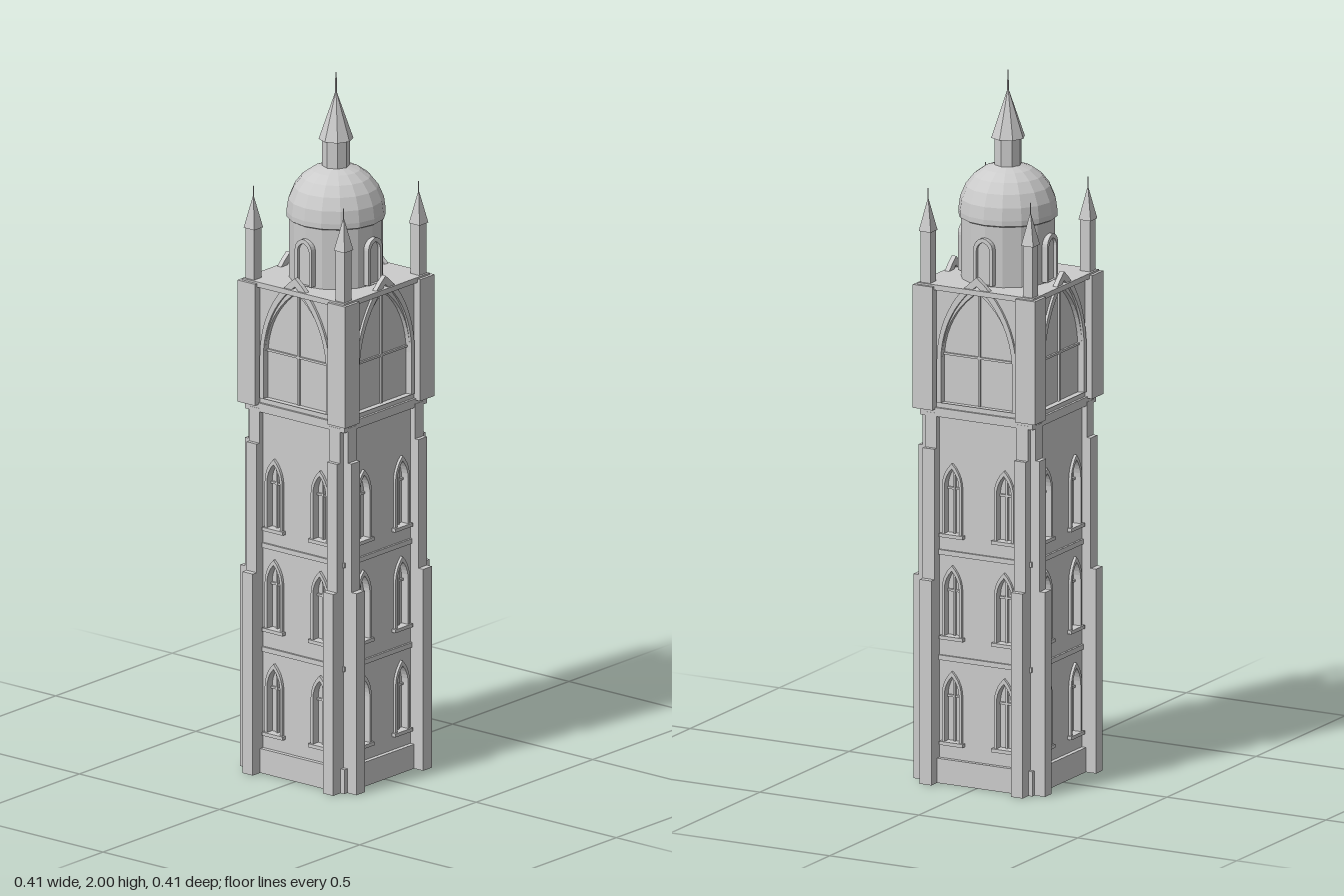
import * as THREE from 'three';

const grey = new THREE.MeshStandardMaterial({ color: 0xcccccc, flatShading: true, side: THREE.DoubleSide });

function add(parent, name, geometry, x = 0, y = 0, z = 0) {
  const mesh = new THREE.Mesh(geometry, grey);
  mesh.name = name;
  mesh.position.set(x, y, z);
  parent.add(mesh);
  return mesh;
}

// Box given by its lower and upper limits
function block(parent, name, x0, x1, y0, y1, z0, z1) {
  return add(parent, name, new THREE.BoxGeometry(x1 - x0, y1 - y0, z1 - z0),
    (x0 + x1) / 2, (y0 + y1) / 2, (z0 + z1) / 2);
}

// Outline of a pointed arch: two arcs meeting at the apex
function archPoints(cx, w, y0, spring, apex, n = 8) {
  const h = apex - spring;
  const R = (w * w + h * h) / (2 * w);
  const end = Math.atan2(h, R - w);
  const right = [];
  for (let i = 0; i <= n; i++) {
    const a = end * i / n;
    right.push([w - R + R * Math.cos(a), spring + R * Math.sin(a)]);
  }
  const left = right.slice(0, n).reverse().map(([x, y]) => [-x, y]);
  return [[-w, y0], [w, y0], ...right, ...left].map(([x, y]) => new THREE.Vector2(cx + x, y));
}

function extrude(shape, depth) {
  return new THREE.ExtrudeGeometry(shape, { depth, bevelEnabled: false });
}

// Arched frame: outer outline with the opening cut out
function archFrame(outer, inner, depth) {
  const shape = new THREE.Shape(outer);
  shape.holes.push(new THREE.Path(inner));
  return extrude(shape, depth);
}

function wall(halfWidth, y0, y1, holes, depth) {
  const shape = new THREE.Shape([[-halfWidth, y0], [halfWidth, y0], [halfWidth, y1], [-halfWidth, y1]]
    .map(p => new THREE.Vector2(...p)));
  holes.forEach(h => shape.holes.push(new THREE.Path(h)));
  return extrude(shape, depth);
}

// One side of the tower, facing +z
function buildSide() {
  const side = new THREE.Group();
  side.name = 'towerSide';

  // Three storeys of paired lancet windows
  const openings = [];
  for (const sill of [0.115, 0.415, 0.705]) {
    for (const cx of [-0.082, 0.082]) {
      const opening = archPoints(cx, 0.023, sill + 0.004, sill + 0.135, sill + 0.19, 5);
      openings.push(opening);
      add(side, 'windowFrame', archFrame(
        archPoints(cx, 0.031, sill, sill + 0.135, sill + 0.205, 5), opening, 0.01), 0, 0, 0.16);
      block(side, 'windowSill', cx - 0.037, cx + 0.037, sill - 0.006, sill + 0.004, 0.155, 0.175);
      block(side, 'windowMullion', cx - 0.003, cx + 0.003, sill, sill + 0.185, 0.145, 0.155);
      block(side, 'windowTransom', cx - 0.022, cx + 0.022, sill + 0.128, sill + 0.134, 0.145, 0.154);
    }
  }
  add(side, 'shaftWall', wall(0.162, 0, 1.05, openings, 0.017), 0, 0, 0.145);

  // Large belfry arch with a cross of bars
  const arch = archPoints(0, 0.112, 1.08, 1.2, 1.405, 10);
  add(side, 'belfryWall', wall(0.17, 1.06, 1.41, [arch], 0.015), 0, 0, 0.155);
  add(side, 'belfryArchFrame', archFrame(
    archPoints(0, 0.125, 1.08, 1.2, 1.45, 10),
    archPoints(0, 0.112, 1.081, 1.2, 1.425, 10), 0.014), 0, 0, 0.163);
  block(side, 'belfryMullion', -0.003, 0.003, 1.08, 1.4, 0.155, 0.163);
  block(side, 'belfryTransom', -0.112, 0.112, 1.215, 1.221, 0.155, 0.163);

  // Stepped buttresses close to both corners
  for (const s of [-1, 1]) {
    const x0 = s > 0 ? 0.125 : -0.162;
    for (const [y0, y1, reach] of [[0, 0.58, 0.207], [0.58, 0.95, 0.19], [0.95, 1.05, 0.178]]) {
      block(side, 'buttress', x0, x0 + 0.037, y0, y1, 0.15, reach);
    }
  }

  // Drum window with raised surround
  add(side, 'drumWindowFrame', archFrame(
    archPoints(0, 0.03, 1.42, 1.52, 1.553, 6),
    archPoints(0, 0.021, 1.421, 1.515, 1.541, 6), 0.03), 0, 0, 0.111);
  add(side, 'drumWindow', extrude(new THREE.Shape(
    archPoints(0, 0.022, 1.42, 1.515, 1.541, 6)), 0.02), 0, 0, 0.112);
  return side;
}

export function createModel() {
  const tower = new THREE.Group();
  tower.name = 'bellTower';

  for (let i = 0; i < 4; i++) {
    const side = buildSide();
    side.rotation.y = i * Math.PI / 2;
    tower.add(side);
  }

  // Core behind the openings, plinth, string courses and roof
  const square = (name, half, y0, y1) => block(tower, name, -half, half, y0, y1, -half, half);
  square('shaftCore', 0.147, 0.01, 1.06);
  square('belfryCore', 0.157, 1.06, 1.4);
  square('plinth', 0.175, 0, 0.07);
  square('stringCourse', 0.168, 0.348, 0.362);
  square('stringCourse', 0.168, 0.647, 0.661);
  square('belfryLedge', 0.177, 1.04, 1.065);
  square('roofSlab', 0.183, 1.4, 1.415);

  // Corner piers and pinnacles
  for (const sx of [-1, 1]) {
    for (const sz of [-1, 1]) {
      const corner = new THREE.Group();
      corner.name = 'corner';
      tower.add(corner);
      add(corner, 'cornerPier', new THREE.BoxGeometry(0.062, 0.35, 0.062), sx * 0.161, 1.235, sz * 0.161);
      add(corner, 'pinnacleShaft', new THREE.BoxGeometry(0.031, 0.155, 0.031), sx * 0.161, 1.4875, sz * 0.161);
      const cap = new THREE.ConeGeometry(0.019 * Math.SQRT2, 0.095, 4);
      cap.rotateY(Math.PI / 4);
      add(corner, 'pinnacleCap', cap, sx * 0.161, 1.6075, sz * 0.161);
      add(corner, 'pinnacleTip', new THREE.CylinderGeometry(0.0015, 0.0015, 0.04, 4), sx * 0.161, 1.66, sz * 0.161);
    }
  }

  // Drum and dome
  add(tower, 'drum', new THREE.CylinderGeometry(0.13, 0.13, 0.18, 16), 0, 1.5, 0);
  const profile = [[0.128, 1.585], [0.137, 1.59], [0.137, 1.605], [0.132, 1.64], [0.117, 1.675],
    [0.095, 1.703], [0.067, 1.723], [0.038, 1.733], [0, 1.736]].map(p => new THREE.Vector2(...p));
  add(tower, 'dome', new THREE.LatheGeometry(profile, 16));

  // Lantern, spire and needle
  add(tower, 'lantern', new THREE.CylinderGeometry(0.038, 0.038, 0.09, 8), 0, 1.77, 0);
  add(tower, 'spire', new THREE.ConeGeometry(0.048, 0.14, 8), 0, 1.88, 0);
  add(tower, 'needle', new THREE.CylinderGeometry(0.002, 0.003, 0.08, 6), 0, 1.96, 0);
  return tower;
}
